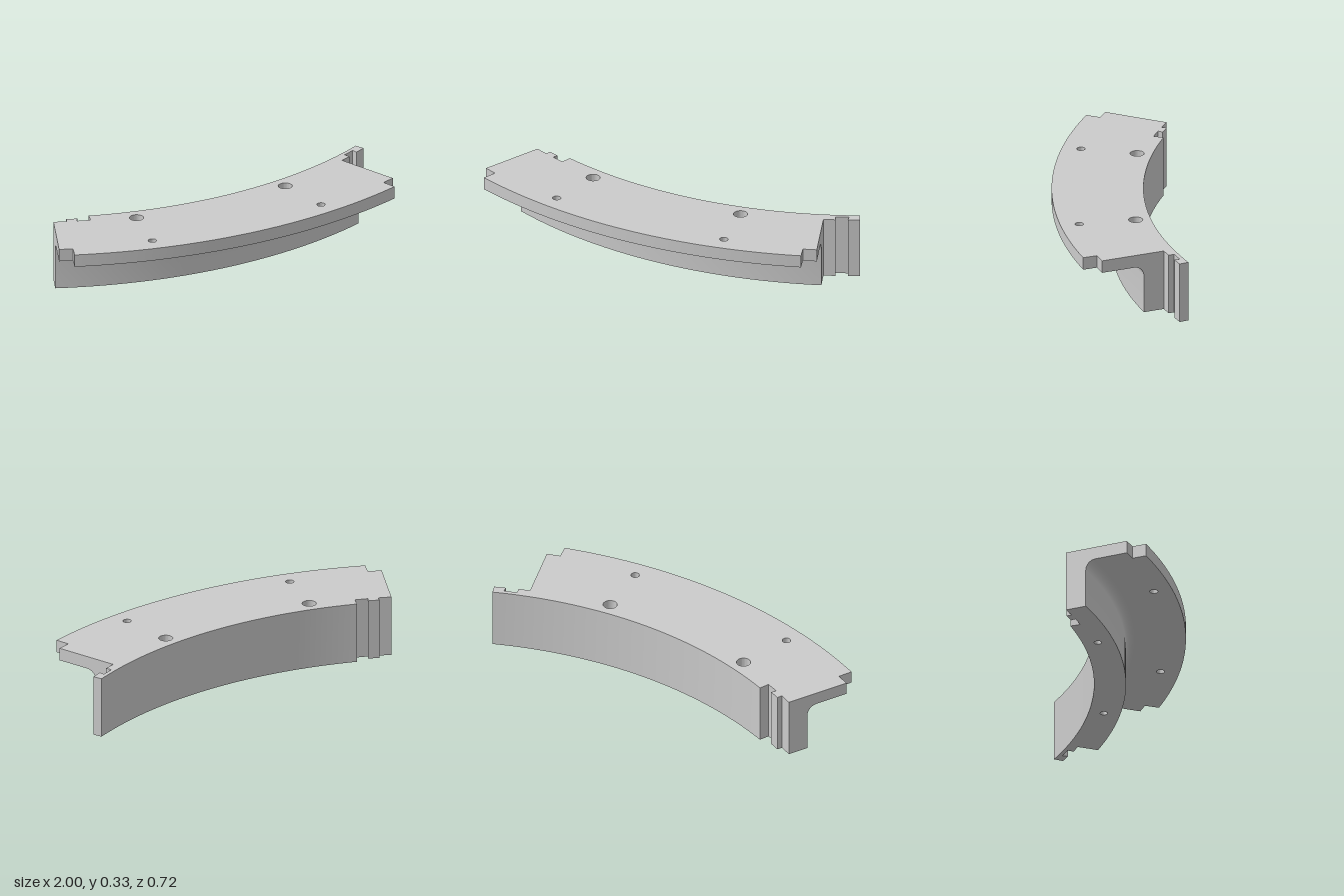
import * as THREE from 'three';
import { toCreasedNormals } from 'three/addons/utils/BufferGeometryUtils.js';

const CX = -0.02, CZ = -2.28;            // centre of the arcs
const H = 0.33, PLATE = 0.262;           // top and underside of the flange
const R_IN = 2.16, R_LEG = 2.327, FILLET = 0.055, R_KEY = 2.215, R_STEP = 2.563, R_OUT = 2.64;
const END = 22.5, SEG = 60;
const rad = THREE.MathUtils.degToRad;

// Point in plan (x, z) from radius and angle
const P = (r, deg) => new THREE.Vector2(CX + r * Math.sin(rad(deg)), CZ + r * Math.cos(rad(deg)));
const arc = (r, a, b) => Array.from({ length: SEG + 1 }, (_, i) => P(r, a + (b - a) * i / SEG));

// Sharp edges stay sharp; optionally turn the surface inside out
function finish(geo, flip = false) {
  const g = geo.index ? geo.toNonIndexed() : geo;
  if (flip) {
    const p = g.attributes.position, a = new THREE.Vector3(), b = new THREE.Vector3();
    for (let i = 0; i < p.count; i += 3) {
      a.fromBufferAttribute(p, i + 1);
      b.fromBufferAttribute(p, i + 2);
      p.setXYZ(i + 1, b.x, b.y, b.z);
      p.setXYZ(i + 2, a.x, a.y, a.z);
    }
  }
  g.computeVertexNormals();
  return toCreasedNormals(g, 0.4);
}

// Vertical wall along a plan path
function wall(path, y0, y1) {
  const v = [];
  for (let i = 0; i + 1 < path.length; i++) {
    const p = path[i], q = path[i + 1];
    v.push(p.x, y0, p.y, p.x, y1, p.y, q.x, y0, q.y);
    v.push(q.x, y0, q.y, p.x, y1, p.y, q.x, y1, q.y);
  }
  const g = new THREE.BufferGeometry();
  g.setAttribute('position', new THREE.Float32BufferAttribute(v, 3));
  return finish(g);
}

// Horizontal face with round holes
function face(path, holes, y, down) {
  const shape = new THREE.Shape(path.map(p => new THREE.Vector2(p.x, -p.y)));
  for (const [c, r] of holes) {
    shape.holes.push(new THREE.Path().absarc(c.x, -c.y, r, 0, Math.PI * 2, true));
  }
  const g = new THREE.ShapeGeometry(shape, 16);
  g.rotateX(-Math.PI / 2).translate(0, y, 0);
  return finish(g, down);
}

export function createModel() {
  const group = new THREE.Group();
  const material = new THREE.MeshStandardMaterial({ color: 0xcccccc, side: THREE.DoubleSide });
  const add = (name, geo) => {
    const mesh = new THREE.Mesh(geo, material);
    mesh.name = name;
    group.add(mesh);
  };

  // Plan paths: inner side with keyed notch and hooked tail, then outer side with stepped corners
  const inner = [
    P(R_KEY, -END), P(R_KEY, -20.7), P(2.187, -20.7), P(2.187, -19.15), P(R_KEY, -19.3), P(R_KEY, -17.45),
    ...arc(R_IN, -17.45, 27.45),
    P(2.211, 27.45), P(2.211, 25.8), P(2.182, 25.95), P(2.182, 24.1), P(R_KEY, 24.1), P(R_KEY, END)
  ];
  const outer = [
    P(R_STEP, END), P(R_STEP, 20.86), ...arc(R_OUT, 20.86, -20.86), P(R_STEP, -20.86), P(R_STEP, -END)
  ];

  // Hole positions
  const bores = [-11.25, 11.25].map(a => P(2.24, a));
  const pins = [-11.25, 11.25].map(a => P(2.54, a));
  const pinHoles = pins.map(c => [c, 0.022]);

  // Horizontal faces
  add('topFace', face([...inner, ...outer], [...bores.map(c => [c, 0.037]), ...pinHoles], H, false));
  add('legBottom', face([...inner, ...arc(R_LEG, END, -END)], bores.map(c => [c, 0.02]), 0, true));
  add('flangeUnderside', face([...outer, ...arc(R_LEG + FILLET, -END, END)], pinHoles, PLATE, true));

  // Upright walls
  add('innerWall', wall(inner, 0, H));
  add('flangeEdge', wall(outer, PLATE, H));

  // Outer side of the leg, curving into the flange
  const profile = [new THREE.Vector2(R_LEG, 0)];
  for (let i = 0; i <= 8; i++) {
    const t = i / 8 * Math.PI / 2;
    profile.push(new THREE.Vector2(
      R_LEG + FILLET * (1 - Math.cos(t)), PLATE - FILLET * (1 - Math.sin(t))));
  }
  const leg = new THREE.LatheGeometry(profile, SEG, rad(-END), rad(2 * END));
  add('legOuterWall', finish(leg.translate(CX, 0, CZ)));

  // L-shaped end faces
  const section = new THREE.Shape([
    new THREE.Vector2(R_KEY, 0), ...profile,
    new THREE.Vector2(R_STEP, PLATE), new THREE.Vector2(R_STEP, H), new THREE.Vector2(R_KEY, H)
  ]);
  for (const side of [-1, 1]) {
    const g = new THREE.ShapeGeometry(section);
    g.rotateY(rad(side * END) - Math.PI / 2).translate(CX, 0, CZ);
    add(side < 0 ? 'rightEndFace' : 'leftEndFace', finish(g, side > 0));
  }

  // Counterbored and plain hole linings
  const lining = (name, c, pts) => {
    const g = new THREE.LatheGeometry(pts.map(([r, y]) => new THREE.Vector2(r, y)), 32);
    add(name, finish(g.translate(c.x, 0, c.y), true));
  };
  for (const c of bores) lining('counterboredHole', c, [[0.02, 0], [0.02, 0.23], [0.037, 0.23], [0.037, H]]);
  for (const c of pins) lining('pinHole', c, [[0.022, PLATE], [0.022, H]]);

  return group;
}
